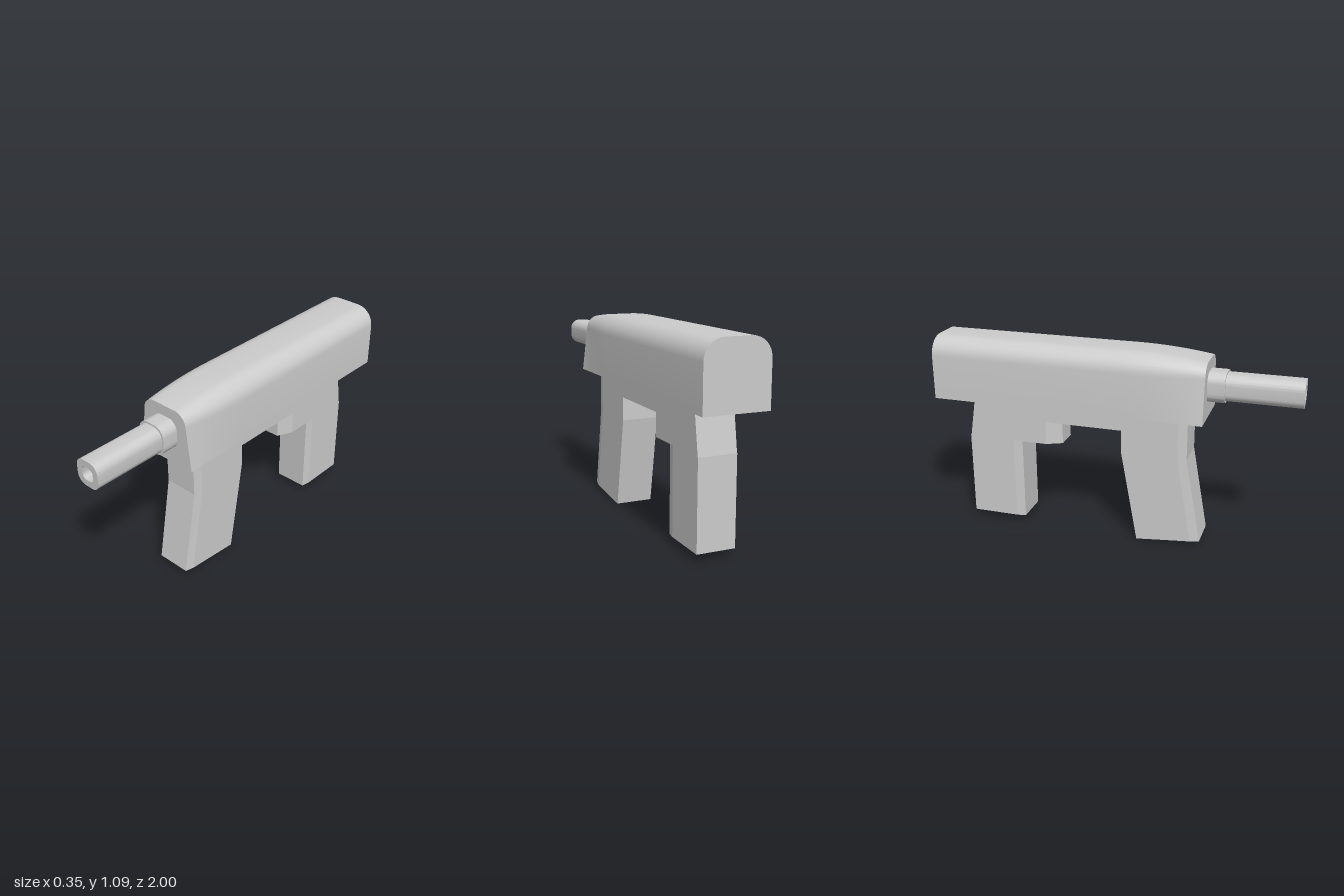
import * as THREE from 'three';
import { toCreasedNormals } from 'three/addons/utils/BufferGeometryUtils.js';

const material = new THREE.MeshStandardMaterial({ color: 0xcccccc });

// Closed solid through equal-length convex rings, counter-clockwise seen from the far end
function loft(rings, crease) {
  const n = rings[0].length, pos = [], index = [];
  rings.forEach(ring => ring.forEach(p => pos.push(...p)));
  for (let k = 0; k < rings.length - 1; k++) {
    for (let i = 0; i < n; i++) {
      const j = (i + 1) % n, a = k * n + i, b = k * n + j;
      index.push(a, b, b + n, a, b + n, a + n);
    }
  }
  const last = (rings.length - 1) * n;
  for (let i = 1; i < n - 1; i++) {
    index.push(0, i + 1, i, last, last + i, last + i + 1);
  }
  const g = new THREE.BufferGeometry();
  g.setAttribute('position', new THREE.Float32BufferAttribute(pos, 3));
  g.setIndex(index);
  return toCreasedNormals(g, crease);
}

// Upright block from levels [front y, front z, back y, back z], narrowed toward its front
function block(levels, inset, depth, w = 0.104) {
  return loft(levels.map(([yf, zf, yb, zb]) => {
    const ym = yf + (yb - yf) * depth / (zf - zb), zm = zf - depth, wi = w - inset;
    return [[wi, yf, zf], [w, ym, zm], [w, yb, zb], [-w, yb, zb], [-w, ym, zm], [-wi, yf, zf]];
  }), 0.05);
}

// Housing section with rounded upper corners; t goes from the full to the nose section
function housingRing(z, t) {
  const w = THREE.MathUtils.lerp(0.173, 0.143, t);
  const r = THREE.MathUtils.lerp(0.105, 0.072, t);
  const top = THREE.MathUtils.lerp(1.085, 1.053, t);
  const right = [[0.173, 0.74, z]];
  for (let i = 0; i <= 8; i++) {
    const a = i / 8 * Math.PI / 2;
    right.push([w - r + r * Math.cos(a), top - r + r * Math.sin(a), z]);
  }
  return [...right, ...right.map(([x, y]) => [-x, y, z]).reverse()];
}

function roundedSquare(Type, h, r) {
  const s = new Type(), c = h - r;
  s.absarc(c, c, r, 0, Math.PI / 2);
  s.absarc(-c, c, r, Math.PI / 2, Math.PI);
  s.absarc(-c, -c, r, Math.PI, Math.PI * 1.5);
  s.absarc(c, -c, r, Math.PI * 1.5, Math.PI * 2);
  s.closePath();
  return s;
}

// Rounded-square length along z, optionally bored
function tube(h, r, z0, z1, bore) {
  const s = roundedSquare(THREE.Shape, h, r);
  if (bore) s.holes.push(roundedSquare(THREE.Path, bore, bore * 0.7));
  const g = new THREE.ExtrudeGeometry(s, { depth: z1 - z0, bevelEnabled: false, curveSegments: 6 });
  g.translate(0, 0.912, z0);
  return toCreasedNormals(g, 0.6);
}

export function createModel() {
  const model = new THREE.Group();
  const add = (name, geometry) => {
    const mesh = new THREE.Mesh(geometry, material);
    mesh.name = name;
    model.add(mesh);
  };

  // Housing, curving in toward the nose
  const rings = [housingRing(-1, 0)];
  for (let i = 0; i <= 8; i++) rings.push(housingRing(0.1 + 0.41 * i / 8, (i / 8) ** 2));
  add('housing', loft(rings, 0.5));

  // Barrel and its collar
  add('collar', tube(0.082, 0.056, 0.5, 0.602));
  add('barrel', tube(0.072, 0.05, 0.6, 1, 0.037));

  // Front handle, bent forward below the frame
  add('frontHandle', block([
    [0.035, 0.505, 0, 0.15],
    [0.51, 0.42, 0.51, 0.06],
    [0.74, 0.42, 0.74, 0.06],
  ], 0.009, 0.05));

  // Frame bridging the two handles
  const bridge = new THREE.BoxGeometry(0.208, 0.1, 0.46);
  bridge.translate(0, 0.69, -0.17);
  add('bridge', bridge);
  add('rearFrame', block([
    [0.51, -0.375, 0.51, -0.83],
    [0.74, -0.375, 0.74, -0.793],
  ], 0, 0.05));

  // Trigger block with a narrowed front
  add('trigger', block([
    [0.51, -0.29, 0.51, -0.45],
    [0.645, -0.29, 0.645, -0.45],
  ], 0.04, 0.085));

  // Rear handle
  add('rearHandle', block([
    [0.04, -0.52, 0.04, -0.832],
    [0.512, -0.52, 0.512, -0.832],
  ], 0.009, 0.05));

  return model;
}
